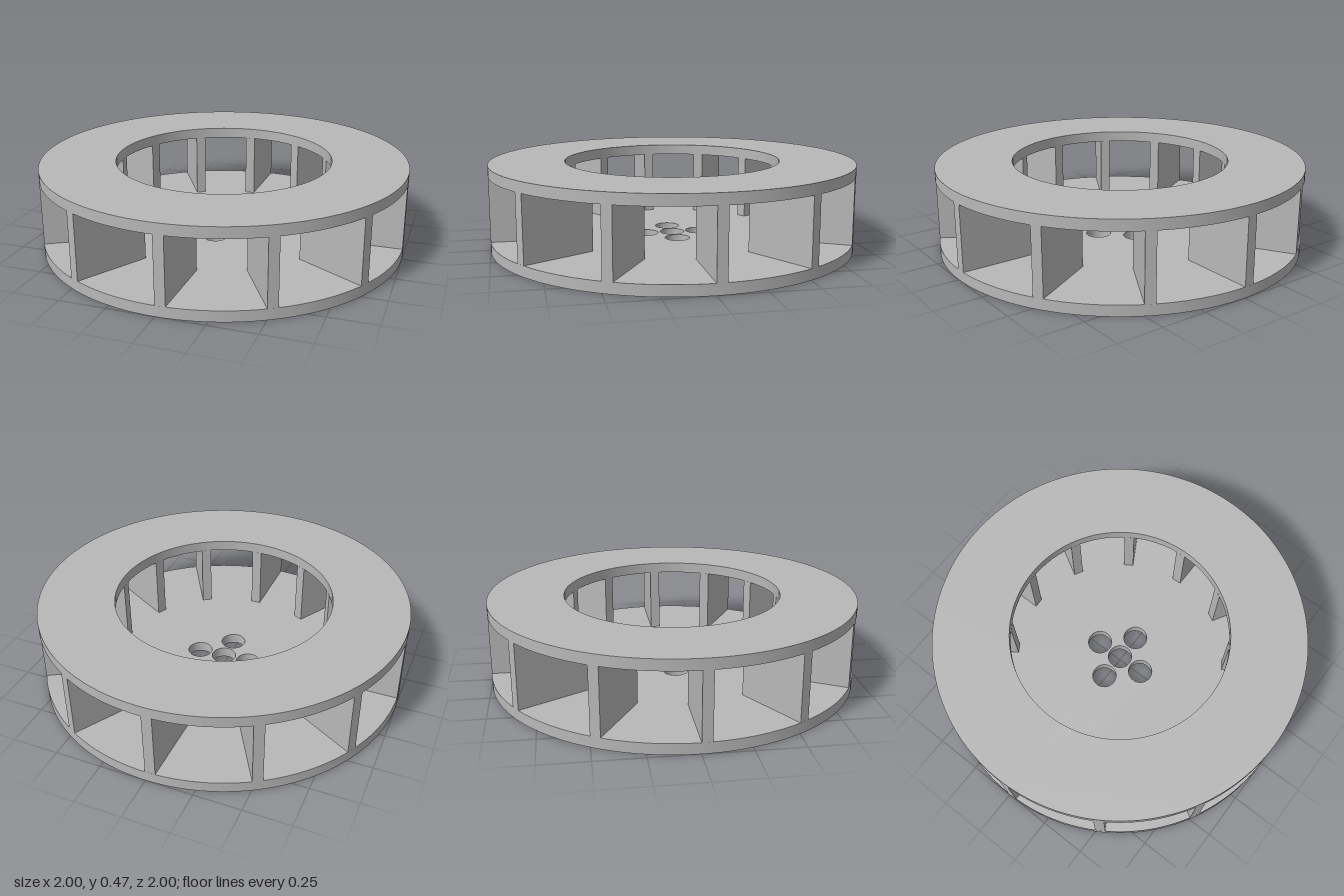
import * as THREE from 'three';
import { toCreasedNormals } from 'three/addons/utils/BufferGeometryUtils.js';

const R = 1, INNER = 0.59, HEIGHT = 0.47, PLATE = 0.058;
const BLADES = 12, THICK = 0.054;
const HOLE = 0.067, HOLE_OFFSET = 0.147;

function circle(ShapeType, x, y, r) {
  const s = new ShapeType();
  s.absarc(x, y, r, 0, Math.PI * 2, false);
  return s;
}

// Extrudes a plan outline upwards, smooth around curves and sharp at edges
function slab(shape, depth) {
  const g = new THREE.ExtrudeGeometry(shape, { depth, bevelEnabled: false, curveSegments: 96 });
  g.rotateX(-Math.PI / 2);
  return toCreasedNormals(g, 0.5);
}

export function createModel() {
  const model = new THREE.Group();
  model.name = 'impeller';
  const grey = new THREE.MeshStandardMaterial({ color: 0xb8b8b8 });
  grey.name = 'grey metal';

  function add(name, geometry, y, parent = model) {
    const mesh = new THREE.Mesh(geometry, grey);
    mesh.name = name;
    mesh.position.y = y;
    parent.add(mesh);
    return mesh;
  }

  // Back plate with a central bore and four bolt holes
  const base = circle(THREE.Shape, 0, 0, R);
  const d = HOLE_OFFSET;
  for (const [x, y] of [[0, 0], [d, 0], [-d, 0], [0, d], [0, -d]]) {
    base.holes.push(circle(THREE.Path, x, y, HOLE));
  }
  add('basePlate', slab(base, PLATE), 0);

  // Top ring with the wide central opening
  const ring = circle(THREE.Shape, 0, 0, R);
  ring.holes.push(circle(THREE.Path, 0, 0, INNER));
  add('topRing', slab(ring, PLATE), HEIGHT - PLATE);

  // Straight blades, each with one face on a radial line
  const blade = new THREE.Shape([
    new THREE.Vector2(0, -INNER),
    new THREE.Vector2(0, -R),
    new THREE.Vector2(THICK, -Math.sqrt(R * R - THICK * THICK)),
    new THREE.Vector2(THICK, -Math.sqrt(INNER * INNER - THICK * THICK)),
  ]);
  const bladeGeometry = slab(blade, HEIGHT - 2 * PLATE);
  const blades = new THREE.Group();
  blades.name = 'blades';
  model.add(blades);
  for (let i = 0; i < BLADES; i++) {
    add('blade', bladeGeometry, PLATE, blades).rotation.y = (i * Math.PI * 2) / BLADES;
  }

  return model;
}
